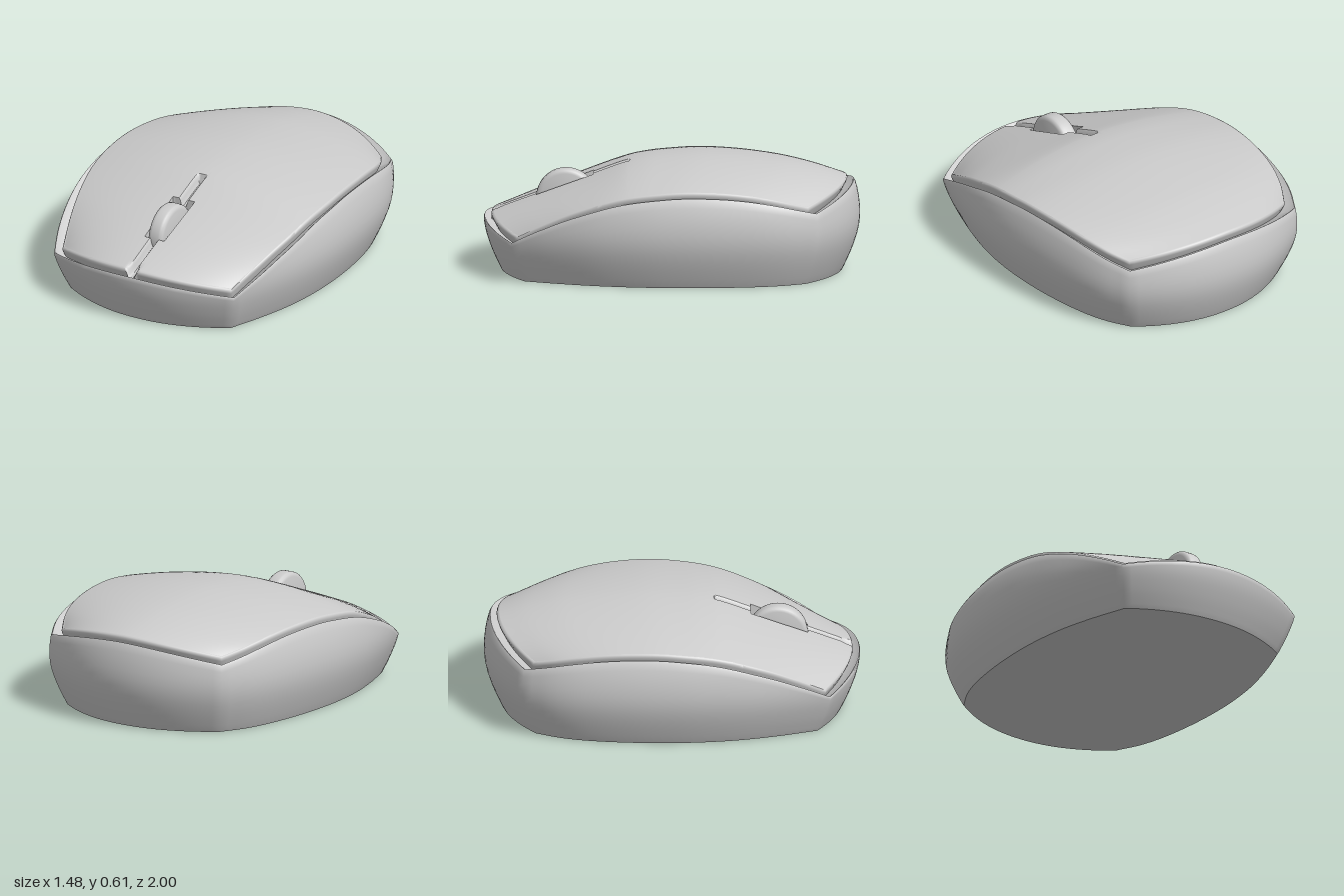
import * as THREE from 'three';
import { toCreasedNormals } from 'three/addons/utils/BufferGeometryUtils.js';

// Smooth interpolation through [x, y] points sorted by x
function curve(pts) {
  const slope = (i) => {
    const a = pts[Math.max(i - 1, 0)], b = pts[Math.min(i + 1, pts.length - 1)];
    return (b[1] - a[1]) / (b[0] - a[0]);
  };
  return (x) => {
    let i = 0;
    while (i < pts.length - 2 && x > pts[i + 1][0]) i++;
    const [x0, y0] = pts[i], [x1, y1] = pts[i + 1], d = x1 - x0;
    const t = THREE.MathUtils.clamp((x - x0) / d, 0, 1), t2 = t * t, t3 = t2 * t;
    return y0 * (2 * t3 - 3 * t2 + 1) + y1 * (3 * t2 - 2 * t3)
      + d * (slope(i) * (t3 - 2 * t2 + t) + slope(i + 1) * (t3 - t2));
  };
}

// Surface through rows of points; closed rows join end to start
function surface(rows, closed, crease) {
  const n = rows[0].length, idx = [];
  for (let i = 0; i < rows.length - 1; i++) {
    for (let j = 0; j < (closed ? n : n - 1); j++) {
      const k = (j + 1) % n, a = i * n + j, b = i * n + k, c = a + n, d = b + n;
      idx.push(a, b, d, a, d, c);
    }
  }
  const geo = new THREE.BufferGeometry();
  geo.setAttribute('position', new THREE.Float32BufferAttribute(rows.flat(2), 3));
  geo.setIndex(idx);
  return toCreasedNormals(geo, crease);
}

const { lerp, smoothstep } = THREE.MathUtils;
const range = (a, b, n) => Array.from({ length: n + 1 }, (_, i) => lerp(a, b, i / n));

// Plan outline: a four-sided patch, u across, v from back (-1) to front (1)
const sideX = curve([[-0.81, 0.56], [-0.67, 0.637], [-0.5, 0.69], [-0.25, 0.728],
  [0, 0.74], [0.2, 0.73], [0.4, 0.7], [0.62, 0.64], [0.83, 0.565]]);
const sideZ = (v) => lerp(-0.81, 0.83, (v + 1) / 2);
const bulge = (u) => 1 - Math.pow(Math.abs(u), 2.1);
function plan(u, v) {
  const z = lerp(-0.81 - 0.19 * bulge(u), 0.83 + 0.167 * bulge(u), (v + 1) / 2);
  return [u * sideX(sideZ(v)), z];
}

// Height of the body rim around the outline
const sideRim = curve([[-0.81, 0.39], [-0.6, 0.446], [-0.4, 0.478], [-0.18, 0.49],
  [0, 0.483], [0.25, 0.448], [0.5, 0.37], [0.68, 0.292], [0.83, 0.217]]);
function rimHeight(u, v) {
  const rise = 1 - Math.pow(Math.abs(u), 1.8);
  return sideRim(sideZ(v)) + (v > 0 ? 0.058 : 0.08) * rise;
}

// Closed loop of [u, v] pairs round the patch border
function border(us, vs) {
  const ur = [...us].reverse(), vr = [...vs].reverse();
  return [
    ...us.slice(0, -1).map((u) => [u, 1]), ...vr.slice(0, -1).map((v) => [1, v]),
    ...ur.slice(0, -1).map((u) => [u, -1]), ...vs.slice(0, -1).map((v) => [-1, v]),
  ];
}

// Lower body: flat base, bulging wall and a lip turned inward
function bodyGeometry() {
  const inset = curve([[0, 0.122], [0.012, 0.113], [0.1, 0.06], [0.2, 0.015],
    [0.29, 0], [0.4, 0.014], [0.49, 0.047]]);
  const loop = border(range(-1, 1, 28), range(-1, 1, 36));
  const ring = (t, lip = 0, drop = 0) => loop.map(([u, v]) => {
    const [x, z] = plan(u, v), y = rimHeight(u, v) * t, w = inset(y);
    return [x * (1 - w - lip), y - drop, z * (1 - 0.75 * w - 0.75 * lip)];
  });
  const rows = [loop.map(() => [0, 0, 0])];
  for (const t of [0, 0.03, 0.1, 0.2, 0.3, 0.4, 0.5, 0.6, 0.7, 0.8, 0.9, 0.97]) rows.push(ring(t));
  rows.push(ring(1, 0.006, 0), ring(1, 0.014, 0.004), ring(1, 0.03, 0.02), ring(1, 0.12, 0.045));
  return surface(rows, true, 0.9);
}

// Top shell: crowned lid with a button groove and a wheel slot
const BACK = -0.93, FRONT = 0.955;
const ridge = curve([[-0.93, 0.497], [-0.77, 0.54], [-0.56, 0.578], [-0.18, 0.605],
  [0.1, 0.592], [0.22, 0.574], [0.28, 0.558], [0.46, 0.49], [0.7, 0.4], [0.955, 0.303]]);
function shellPoint(u, v, scale, drop) {
  const [x, z] = plan(u, v);
  const zc = lerp(BACK, FRONT, (v + 1) / 2), a = Math.abs(u), top = ridge(zc);
  let y = top - (top - sideRim(sideZ(v)) - 0.03) * Math.pow(a, 1.8);
  const flare = 0.045 + 0.03 * smoothstep(zc, 0.9, FRONT);
  let cut = 0.05 * (1 - smoothstep(a, 0.012, flare)) * smoothstep(zc, 0.235, 0.25);
  if (a < 0.102 && zc > 0.43 && zc < 0.73) cut = 0.16;
  y -= cut;
  return [x * 0.925 * scale, y - drop, z * (z > 0 ? 0.957 : 0.93) * scale];
}
function shellGeometries() {
  const half = [0.008, 0.014, 0.022, 0.03, 0.038, 0.046, 0.06, 0.075, 0.1, 0.104, ...range(0.15, 1, 20)];
  const us = [...half.map((u) => -u).reverse(), 0, ...half];
  const zs = [...range(BACK, 0.2, 32), 0.235, 0.243, 0.25, ...range(0.28, 0.429, 5),
    ...range(0.431, 0.729, 8), ...range(0.731, 0.89, 5), 0.905, 0.92, 0.94, FRONT];
  const vs = zs.map((z) => ((z - BACK) / (FRONT - BACK)) * 2 - 1);
  const top = [...vs].reverse().map((v) => us.map((u) => shellPoint(u, v, 0.988, 0)));
  const loop = border(us, vs);
  const edge = [[0.97, 0.075], [0.998, 0.027], [1.002, 0.014], [0.997, 0.004], [0.988, 0]]
    .map(([s, d]) => loop.map(([u, v]) => shellPoint(u, v, s, d)));
  return [surface(top, false, 0.7), surface(edge, true, 0.9)];
}

// Scroll wheel profile: a drum with rounded shoulders
function wheelGeometry() {
  const r = 0.16, h = 0.045;
  const pts = [[0, -h], [r - 0.025, -h], [r - 0.01, -h + 0.004], [r - 0.002, -h + 0.014], [r, -h + 0.025]];
  const profile = [...pts, ...pts.map(([x, y]) => [x, -y]).reverse()];
  const geo = new THREE.LatheGeometry(profile.map(([x, y]) => new THREE.Vector2(x, y)), 48);
  return toCreasedNormals(geo, 0.7).rotateZ(Math.PI / 2);
}

export function createModel() {
  const group = new THREE.Group();
  group.name = 'computerMouse';
  const grey = new THREE.MeshStandardMaterial({ color: 0xcccccc });
  grey.name = 'light grey';
  const add = (name, geo, parent = group) => {
    const mesh = new THREE.Mesh(geo, grey);
    mesh.name = name;
    parent.add(mesh);
    return mesh;
  };

  add('lowerBody', bodyGeometry());

  const shell = new THREE.Group();
  shell.name = 'topShell';
  const [top, edge] = shellGeometries();
  add('shellTop', top, shell);
  add('shellEdge', edge, shell);
  group.add(shell);

  const wheel = new THREE.Group();
  wheel.name = 'scrollWheel';
  wheel.position.set(0, 0.363, 0.56);
  add('wheelDrum', wheelGeometry(), wheel);
  add('wheelAxle', new THREE.CylinderGeometry(0.03, 0.03, 0.13, 16).rotateZ(Math.PI / 2), wheel);
  group.add(wheel);

  return group;
}
